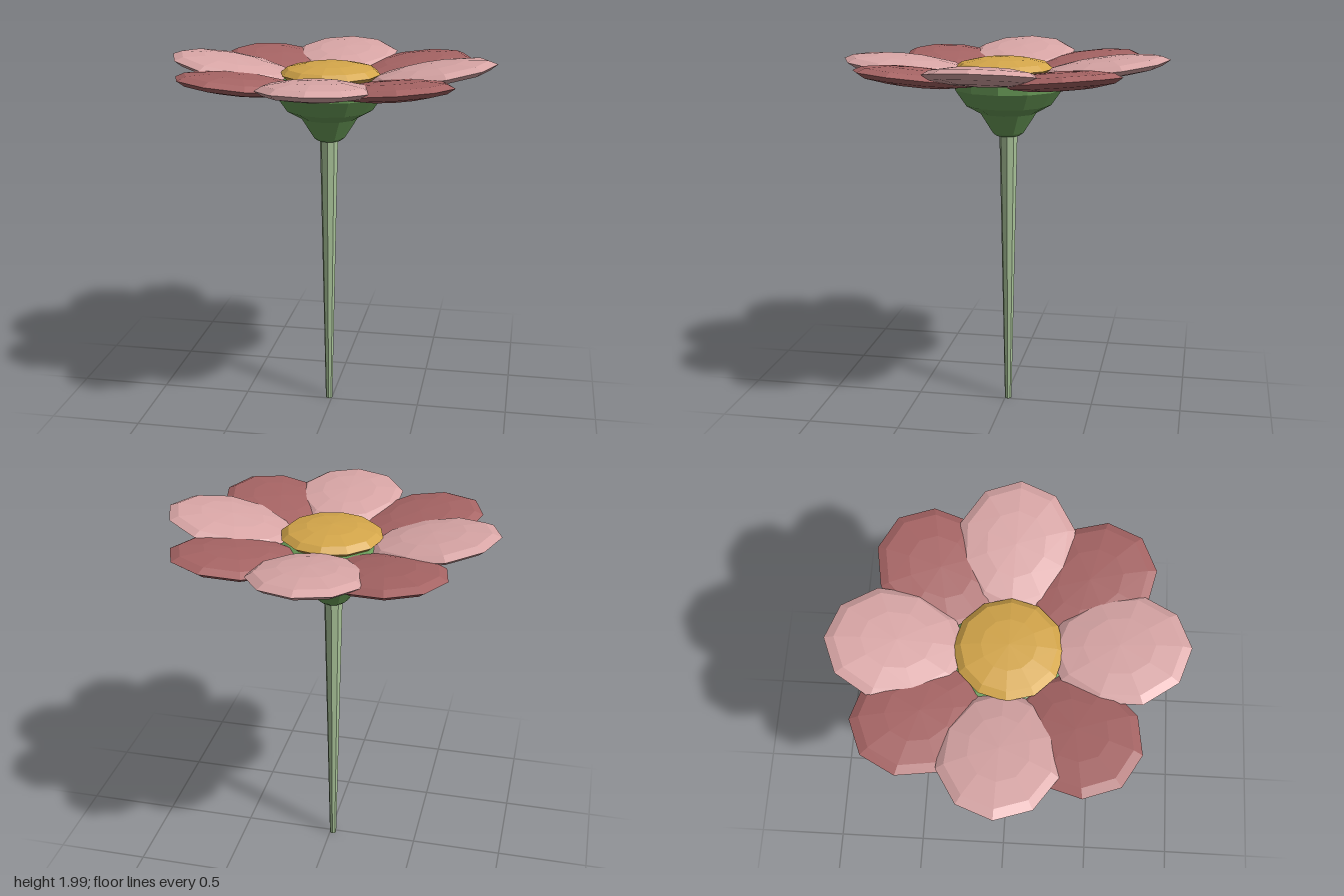
import * as THREE from 'three';

const mat = (color) => new THREE.MeshStandardMaterial({ color, flatShading: true });

// Flattened ten-sided ellipsoid, narrowing toward its inner (-x) end
function petalGeometry() {
  const g = new THREE.SphereGeometry(1, 10, 6);
  const p = g.attributes.position;
  for (let i = 0; i < p.count; i++) {
    const x = p.getX(i);
    const narrow = x < 0 ? 1 + 0.16 * x : 1;
    p.setXYZ(i, x * 0.345, p.getY(i) * 0.05, p.getZ(i) * 0.3 * narrow);
  }
  g.computeVertexNormals();
  return g;
}

export function createModel() {
  const model = new THREE.Group();
  model.name = 'flower';
  const add = (name, geometry, material, x, y, z, parent = model) => {
    const m = new THREE.Mesh(geometry, material);
    m.name = name;
    m.position.set(x, y, z);
    parent.add(m);
    return m;
  };

  // Stem, thicker toward the top
  add('stem', new THREE.CylinderGeometry(0.05, 0.019, 1.56, 8), mat(0xa8c298), -0.017, 0.78, -0.017);

  // Cup under the petals
  const profile = [[0, 1.535], [0.065, 1.535], [0.085, 1.55], [0.155, 1.66], [0.235, 1.705],
    [0.295, 1.79], [0.3, 1.85], [0.24, 1.88], [0, 1.89]].map(([r, y]) => new THREE.Vector2(r, y));
  add('calyx', new THREE.LatheGeometry(profile, 12), mat(0x6a9c58), -0.015, 0, -0.015);

  // Domed centre
  const centre = add('flowerCentre', new THREE.SphereGeometry(1, 12, 6), mat(0xd4a64a), -0.005, 1.9, 0.005);
  centre.scale.set(0.268, 0.058, 0.268);

  // Two rings of four petals: [angle from +x toward +z in degrees, height, upward tilt]
  const geometry = petalGeometry();
  const rings = [
    ['lowerPetal', mat(0xa66464), 0.535, [[46, 1.89, 0.13], [140.5, 1.89, 0.13], [228, 1.89, 0.13], [318.5, 1.89, 0.13]]],
    ['upperPetal', mat(0xd9a6a6), 0.535, [[1.3, 1.918, 0.17], [88, 1.908, 0.09], [181.3, 1.918, 0.17], [268.7, 1.914, 0.13]]],
  ];
  for (const [name, material, radius, petals] of rings) {
    for (const [angle, y, tilt] of petals) {
      const pivot = new THREE.Group();
      pivot.name = name;
      pivot.rotation.y = -THREE.MathUtils.degToRad(angle);
      model.add(pivot);
      add(name + 'Blade', geometry, material, radius, y, 0, pivot).rotation.z = tilt;
    }
  }
  return model;
}
